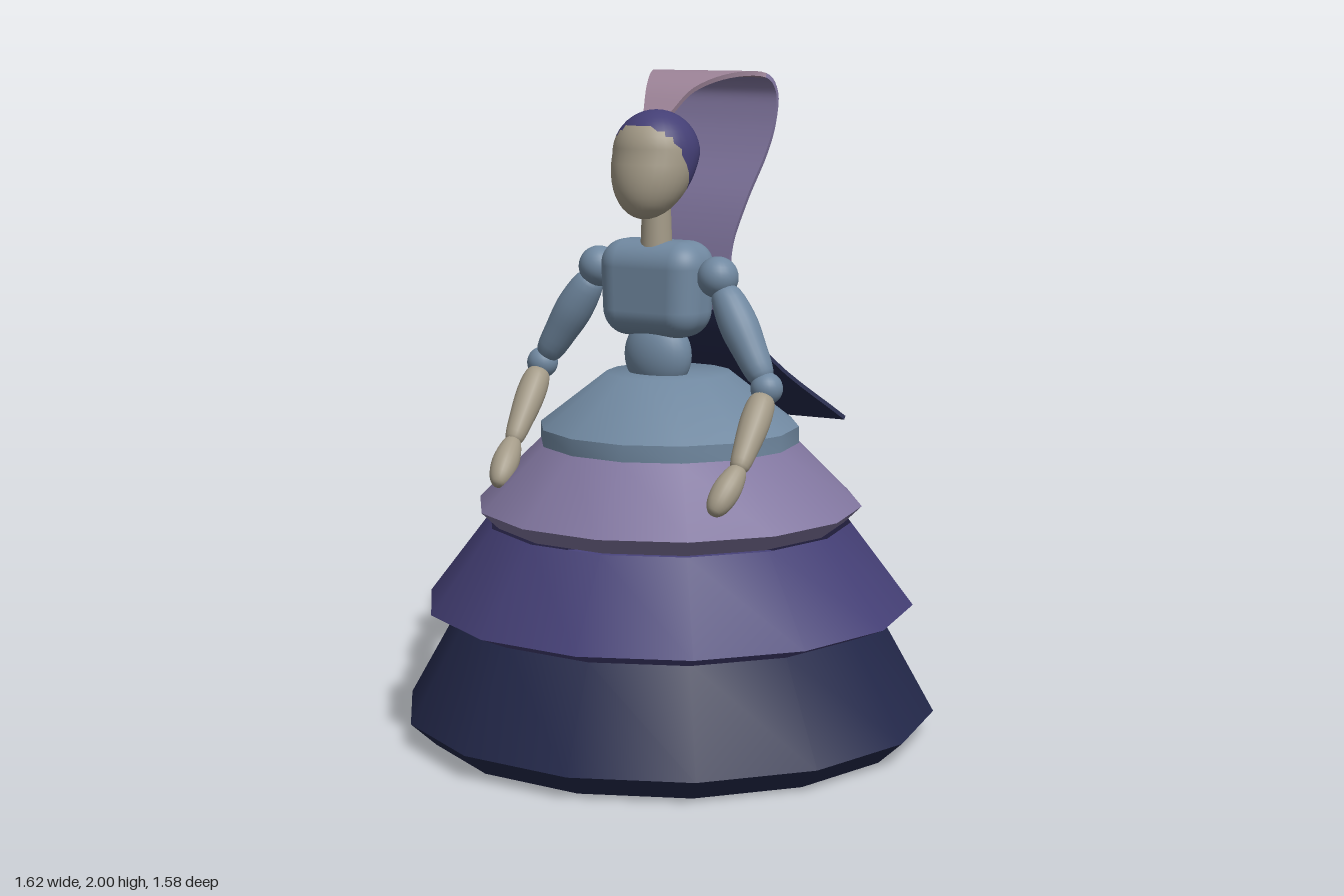
import * as THREE from 'three';
import { toCreasedNormals } from 'three/addons/utils/BufferGeometryUtils.js';
import { RoundedBoxGeometry } from 'three/addons/geometries/RoundedBoxGeometry.js';

const paint = (color, side = THREE.FrontSide) => new THREE.MeshStandardMaterial({ color, side });
const NAVY = 0x23284a, PURPLE = 0x443f75, LILAC = 0x81769f, BLUE = 0x7088a0, SKIN = 0xa39a87, PINK = 0x9c8397;
const TURN = -0.42; // the figure is turned slightly to its right
const v = (x, y, z) => new THREE.Vector3(x, y, z);

function add(parent, name, geometry, color, position = v(0, 0, 0), side) {
  const mesh = new THREE.Mesh(geometry, paint(color, side));
  mesh.name = name;
  mesh.position.copy(position);
  parent.add(mesh);
  return mesh;
}

// One skirt tier: a 14-sided lathe with a corner on the x axis
function tier(parent, name, color, profile) {
  const pts = profile.map(([r, y]) => new THREE.Vector2(r, y));
  const geo = new THREE.LatheGeometry(pts, 14, Math.PI / 2);
  add(parent, name, toCreasedNormals(geo, 0.75), color, undefined, THREE.DoubleSide);
}

// Limb turned around the line from a to b; profile is [radius, fraction along]
function limb(parent, name, color, a, b, profile) {
  const dir = b.clone().sub(a), len = dir.length();
  const pts = new THREE.SplineCurve(profile.map(([r, t]) => new THREE.Vector2(r, t * len))).getPoints(18);
  pts.forEach(p => { p.x = Math.max(p.x, 0); });
  const mesh = add(parent, name, new THREE.LatheGeometry(pts, 20), color, a);
  mesh.quaternion.setFromUnitVectors(v(0, 1, 0), dir.normalize());
}

// Shoulder, upper arm, elbow, forearm and hand
function arm(parent, side, shoulder, elbow, wrist, tip) {
  const group = new THREE.Group();
  group.name = side + 'Arm';
  parent.add(group);
  add(group, side + 'Shoulder', new THREE.SphereGeometry(0.062, 24, 16), BLUE, shoulder);
  limb(group, side + 'UpperArm', BLUE, shoulder, elbow,
    [[0, 0.08], [0.042, 0.14], [0.058, 0.4], [0.052, 0.65], [0.038, 0.9], [0, 0.97]]);
  add(group, side + 'Elbow', new THREE.SphereGeometry(0.048, 24, 16), BLUE, elbow);
  limb(group, side + 'Forearm', SKIN, elbow, wrist,
    [[0, 0.08], [0.036, 0.14], [0.045, 0.4], [0.037, 0.75], [0.026, 0.98], [0, 1.03]]);
  limb(group, side + 'Hand', SKIN, wrist, tip,
    [[0, -0.08], [0.026, 0], [0.041, 0.4], [0.036, 0.75], [0.02, 0.95], [0, 1]]);
}

// Egg-shaped head, narrowing to a chin that sits forward; faces split into hair and skin
function head(parent) {
  const group = new THREE.Group();
  group.name = 'head';
  group.position.set(-0.03, 1.76, 0.06);
  group.rotation.y = TURN;
  parent.add(group);
  const geo = new THREE.SphereGeometry(0.13, 32, 22);
  const p = geo.attributes.position;
  for (let i = 0; i < p.count; i++) {
    const y = p.getY(i);
    if (y < 0) p.setXYZ(i, p.getX(i), y * 1.46, p.getZ(i) - y * 0.5);
  }
  geo.computeVertexNormals();
  const hair = [], face = [], idx = geo.index.array;
  // Each quad of the sphere goes whole to one side, leaving a stepped hairline
  const isHair = k => {
    let s = 0;
    for (let j = 0; j < 3; j++) s += 0.48 * p.getY(idx[k + j]) - 0.88 * p.getZ(idx[k + j]);
    return s / 3 > -0.04;
  };
  for (let k = 0; k < idx.length; k += 3) (isHair(k) ? hair : face).push(idx[k], idx[k + 1], idx[k + 2]);
  for (const [name, list, color] of [['hairCap', hair, PURPLE], ['face', face, SKIN]]) {
    const part = geo.clone();
    part.setIndex(list);
    add(group, name, part, color);
  }
}

// Ponytail stations: x, y, z of the centre line and half width
const TAIL = [
  [-0.03, 1.875, 0.035, 0.045], [0.0, 1.945, -0.03, 0.08], [0.05, 1.985, -0.11, 0.135],
  [0.1, 1.985, -0.19, 0.19], [0.12, 1.94, -0.222, 0.2], [0.12, 1.87, -0.22, 0.2],
  [0.1, 1.76, -0.2, 0.195], [0.075, 1.6, -0.15, 0.155], [0.07, 1.45, -0.122, 0.115],
  [0.07, 1.28, -0.118, 0.13], [0.13, 1.12, -0.185, 0.19], [0.215, 0.93, -0.35, 0.325],
];

// Flat ribbon with a little thickness, between two stations of the ponytail
function ribbon(parent, name, color, from, to) {
  const path = new THREE.CatmullRomCurve3(TAIL.map(([x, y, z]) => v(x, y, z)));
  const width = new THREE.CatmullRomCurve3(TAIL.map(s => v(s[3], 0, 0)), false, 'catmullrom');
  const across = v(0.935, 0, 0.36).normalize(), half = 0.007;
  const steps = (to - from) * 5, pos = [], idx = [];
  for (let i = 0; i <= steps; i++) {
    const t = (from + (i / steps) * (to - from)) / (TAIL.length - 1);
    const c = path.getPoint(t), w = width.getPoint(t).x;
    const n = path.getTangent(t).cross(across).normalize();
    for (const [a, b] of [[-1, -1], [1, -1], [1, 1], [-1, 1]])
      pos.push(...c.clone().addScaledVector(across, a * w).addScaledVector(n, b * half).toArray());
  }
  for (let i = 0; i < steps; i++) for (let j = 0; j < 4; j++) {
    const a = i * 4 + j, b = i * 4 + (j + 1) % 4;
    idx.push(a, a + 4, b, b, a + 4, b + 4);
  }
  const e = steps * 4;
  idx.push(0, 1, 2, 0, 2, 3, e, e + 2, e + 1, e, e + 3, e + 2);
  const geo = new THREE.BufferGeometry();
  geo.setAttribute('position', new THREE.Float32BufferAttribute(pos, 3));
  geo.setIndex(idx);
  add(parent, name, toCreasedNormals(geo, 0.7), color, undefined, THREE.DoubleSide);
}

export function createModel() {
  const model = new THREE.Group();
  model.name = 'dancer';

  // Tiered skirt
  const skirt = new THREE.Group();
  skirt.name = 'skirt';
  model.add(skirt);
  tier(skirt, 'bottomTier', NAVY, [[0, 0], [0.735, 0], [0.812, 0.07], [0.65, 0.36]]);
  tier(skirt, 'lowerTier', PURPLE, [[0.64, 0.355], [0.745, 0.4], [0.555, 0.65]]);
  tier(skirt, 'middleTier', LILAC, [[0.535, 0.65], [0.587, 0.7], [0.395, 0.89]]);
  tier(skirt, 'topTier', BLUE, [[0.395, 0.89], [0.395, 0.94], [0.19, 1.1], [0, 1.1]]);

  // Torso
  const waist = add(model, 'waist', new THREE.SphereGeometry(1, 28, 18), BLUE, v(-0.03, 1.155, 0.025));
  waist.scale.set(0.11, 0.115, 0.075);
  waist.rotation.y = TURN;
  const chestGeo = new RoundedBoxGeometry(0.35, 0.29, 0.2, 6, 0.08);
  const p = chestGeo.attributes.position;
  for (let i = 0; i < p.count; i++) {
    const taper = 0.96 + 0.3 * p.getY(i);
    p.setX(i, p.getX(i) * taper);
  }
  const chest = add(model, 'chest', chestGeo, BLUE, v(-0.033, 1.357, 0.02));
  chest.rotation.y = TURN;
  add(model, 'neck', new THREE.CylinderGeometry(0.042, 0.048, 0.16, 24), SKIN, v(-0.032, 1.56, 0.045));

  head(model);
  arm(model, 'right', v(-0.225, 1.41, -0.07), v(-0.415, 1.1, -0.14), v(-0.475, 0.88, 0.04), v(-0.5, 0.765, 0.165));
  arm(model, 'left', v(0.16, 1.4, 0.11), v(0.318, 1.09, 0.23), v(0.255, 0.88, 0.41), v(0.19, 0.765, 0.5));

  // Ponytail
  const tail = new THREE.Group();
  tail.name = 'ponytail';
  model.add(tail);
  ribbon(tail, 'tailRoot', PINK, 0, 3);
  ribbon(tail, 'tailLength', LILAC, 3, 9);
  ribbon(tail, 'tailTip', NAVY, 9, 11);

  return model;
}
